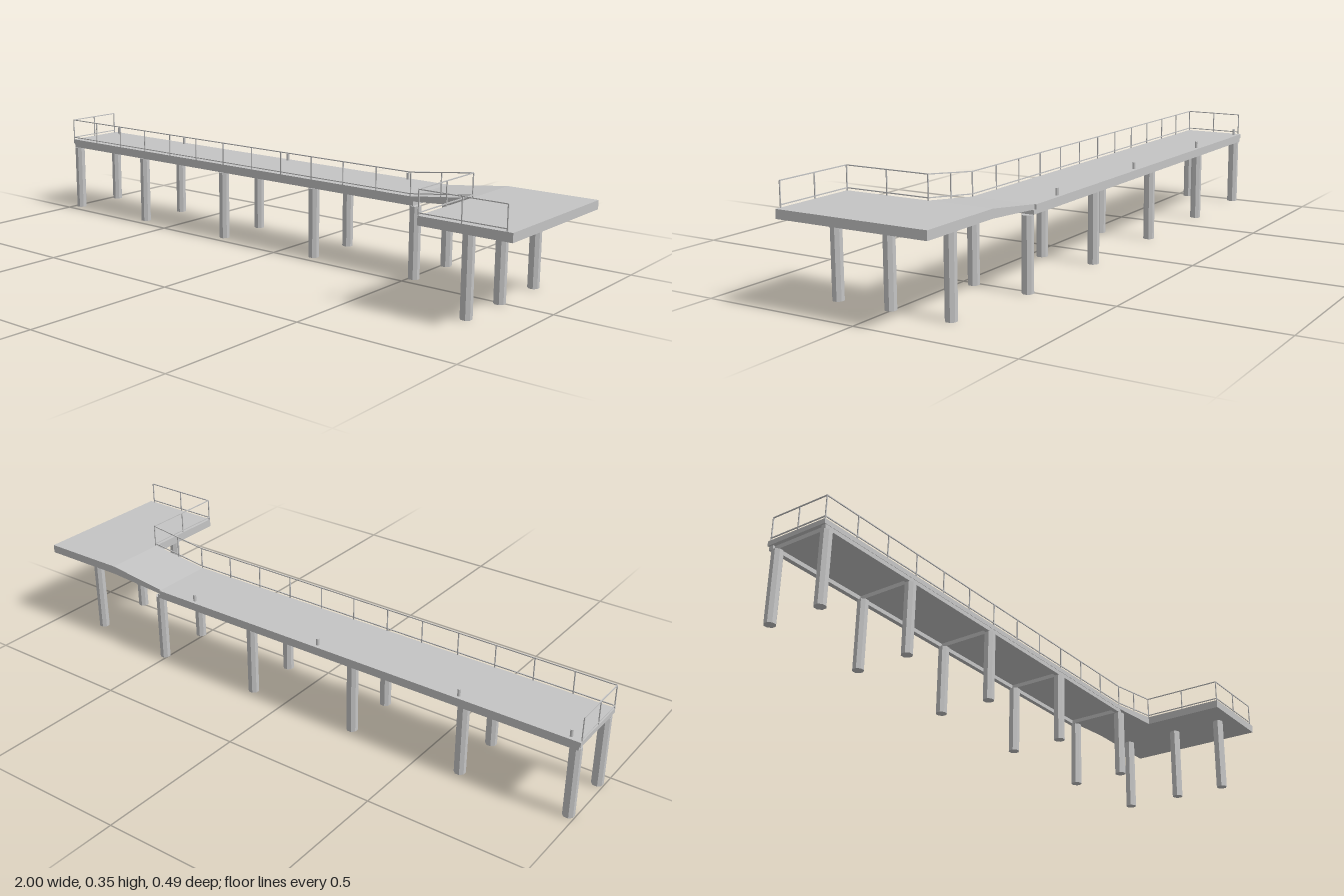
import * as THREE from 'three';

export function createModel() {
  const pier = new THREE.Group();
  pier.name = 'pier';
  const concrete = new THREE.MeshStandardMaterial({ color: 0xc4c4c4 });
  concrete.name = 'concreteGrey';

  const add = (name, geometry, x = 0, y = 0, z = 0) => {
    const mesh = new THREE.Mesh(geometry, concrete);
    mesh.name = name;
    mesh.position.set(x, y, z);
    pier.add(mesh);
    return mesh;
  };
  const slab = (name, x0, x1, y0, y1, z0, z1) =>
    add(name, new THREE.BoxGeometry(x1 - x0, y1 - y0, z1 - z0), (x0 + x1) / 2, (y0 + y1) / 2, (z0 + z1) / 2);

  // Deck levels and edges
  const low = 0.254, high = 0.28, front = -0.034, back = -0.247;
  const rampStart = 0.5, rampEnd = 0.71;

  // Walkway, sloped ramp and raised platform
  slab('walkwayDeck', -1, rampStart, 0.239, low, back, front);
  const rampProfile = new THREE.Shape([
    new THREE.Vector2(rampStart, 0.239), new THREE.Vector2(rampEnd, 0.253),
    new THREE.Vector2(rampEnd, high), new THREE.Vector2(rampStart, low),
  ]);
  const rampGeometry = new THREE.ExtrudeGeometry(rampProfile, { depth: front + 0.241, bevelEnabled: false });
  add('ramp', rampGeometry, 0, 0, -0.241);
  slab('platformDeck', rampEnd, 1, 0.253, high, -0.241, 0.247);

  // Beams along both walkway edges
  slab('frontBeam', -0.995, 0.51, 0.226, 0.239, -0.05, -0.035);
  slab('backBeam', -0.995, 0.51, 0.226, 0.239, -0.245, -0.23);

  // Octagonal piles, flat sides facing out
  const pile = (name, x, z, height) => {
    const geometry = new THREE.CylinderGeometry(0.0178, 0.0178, height, 8).toNonIndexed();
    geometry.rotateY(Math.PI / 8);
    geometry.computeVertexNormals();
    add(name, geometry, x, height / 2, z);
  };
  for (const x of [-0.98, -0.635, -0.255, 0.13, 0.513]) {
    pile('walkwayPile', x, -0.045, 0.226);
    pile('walkwayPile', x, -0.227, 0.226);
    const beamX = Math.min(x, 0.502);
    slab('crossBeam', beamX - 0.008, beamX + 0.008, 0.226, 0.239, -0.23, -0.05);
  }
  for (const z of [0.185, 0.005, -0.192]) pile('platformPile', 0.835, z, 0.253);

  // Mooring bollards near the back edge
  for (const x of [-0.965, -0.62, -0.13, 0.36]) {
    add('bollard', new THREE.CylinderGeometry(0.005, 0.005, 0.022, 8), x, low + 0.011, -0.232);
  }

  // Railings: bars between consecutive points, posts at every division
  const thickness = 0.003, railHeight = 0.073, lowRail = 0.008;
  const bar = (name, a, b) => {
    const mesh = add(name, new THREE.BoxGeometry(thickness, thickness, a.distanceTo(b)));
    mesh.position.copy(a).add(b).multiplyScalar(0.5);
    mesh.lookAt(b);
  };
  const rails = (a, b, divisions) => {
    const lift = (p, h) => p.clone().setY(p.y + h);
    bar('topRail', lift(a, railHeight), lift(b, railHeight));
    bar('bottomRail', lift(a, lowRail), lift(b, lowRail));
    for (let i = 0; i <= divisions; i++) {
      const p = a.clone().lerp(b, i / divisions);
      add('railPost', new THREE.BoxGeometry(thickness, railHeight, thickness), p.x, p.y + railHeight / 2, p.z);
    }
  };
  const v = (x, y, z) => new THREE.Vector3(x, y, z);
  const edge = front - 0.0015, corner = rampEnd + 0.002;
  rails(v(-0.998, low, -0.237), v(-0.998, low, edge), 2);
  rails(v(-0.998, low, edge), v(rampStart, low, edge), 12);
  rails(v(rampStart, low, edge), v(corner, high, edge), 2);
  rails(v(corner, high, edge), v(corner, high, 0.245), 2);
  rails(v(corner, high, 0.245), v(0.982, high, 0.245), 2);

  return pier;
}
